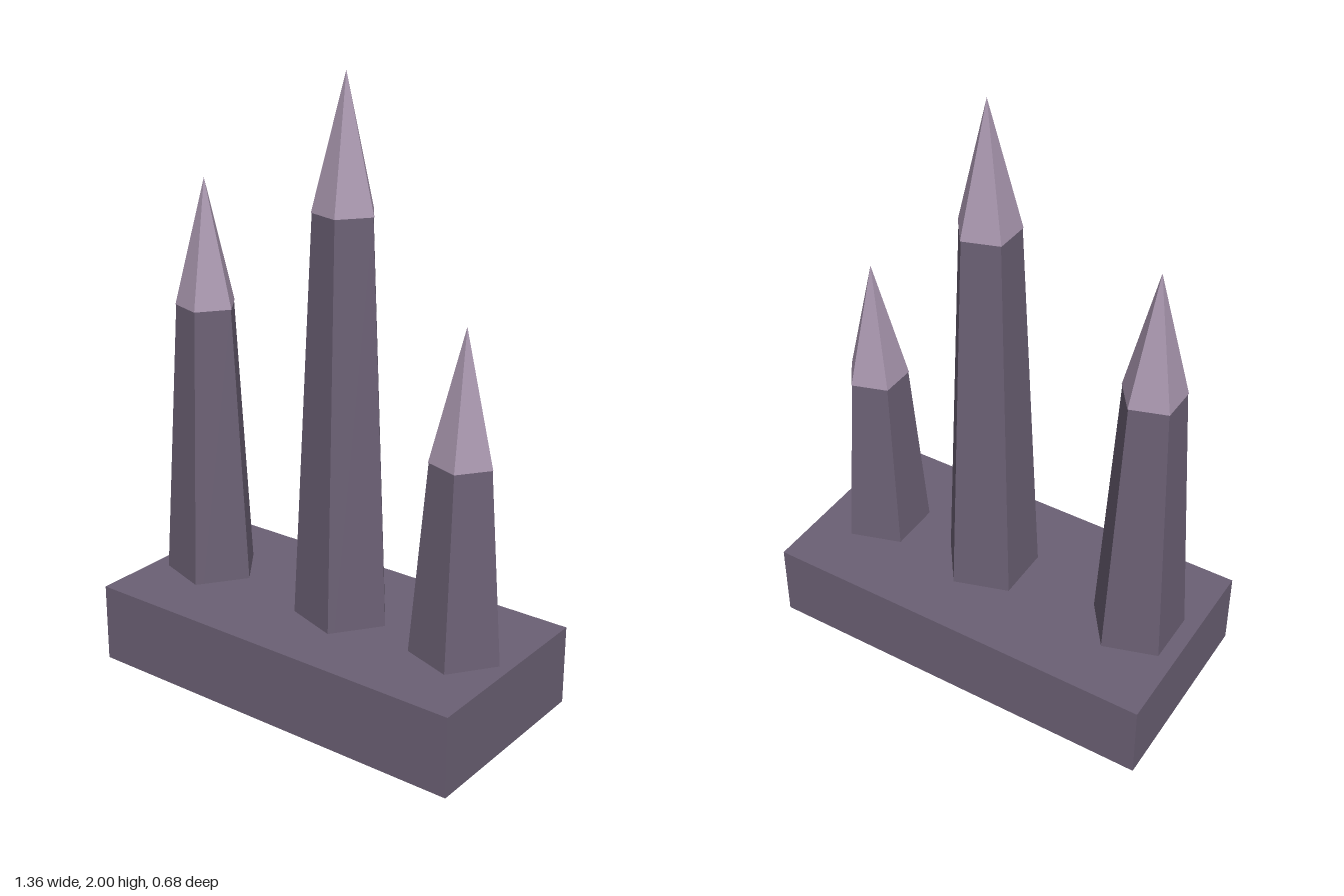
import * as THREE from 'three';

export function createModel() {
  const stone = new THREE.MeshStandardMaterial({ color: 0x6b6074, flatShading: true });
  stone.name = 'dark purple stone';
  const pale = new THREE.MeshStandardMaterial({ color: 0xa896ae, flatShading: true });
  pale.name = 'pale purple tip';

  const model = new THREE.Group();
  model.name = 'spikeTrap';

  // Slab the spikes pass through
  const slab = new THREE.Mesh(new THREE.BoxGeometry(1.36, 0.265, 0.68), stone);
  slab.name = 'baseSlab';
  slab.position.y = 0.1475;
  model.add(slab);

  // Five-sided frustum or cone with one corner pointing to +x
  const pentagon = (name, rTop, rBottom, y0, y1, material) => {
    const geometry = new THREE.CylinderGeometry(rTop, rBottom, y1 - y0, 5, 1, false, Math.PI / 2);
    const mesh = new THREE.Mesh(geometry, material);
    mesh.name = name;
    mesh.position.y = (y0 + y1) / 2;
    return mesh;
  };

  // Spikes: tapered shaft and pointed tip, which overlap slightly
  const spikes = [
    ['rightSpike', -0.498, 1.625],
    ['middleSpike', 0.06, 2],
    ['leftSpike', 0.492, 1.315],
  ];
  for (const [name, x, height] of spikes) {
    const tipBase = height - 0.415;
    const spike = new THREE.Group();
    spike.name = name;
    spike.position.x = x;
    spike.add(pentagon('shaft', 0.1, 0.174, 0, tipBase + 0.012, stone));
    spike.add(pentagon('tip', 0, 0.103, tipBase, height, pale));
    model.add(spike);
  }
  return model;
}
